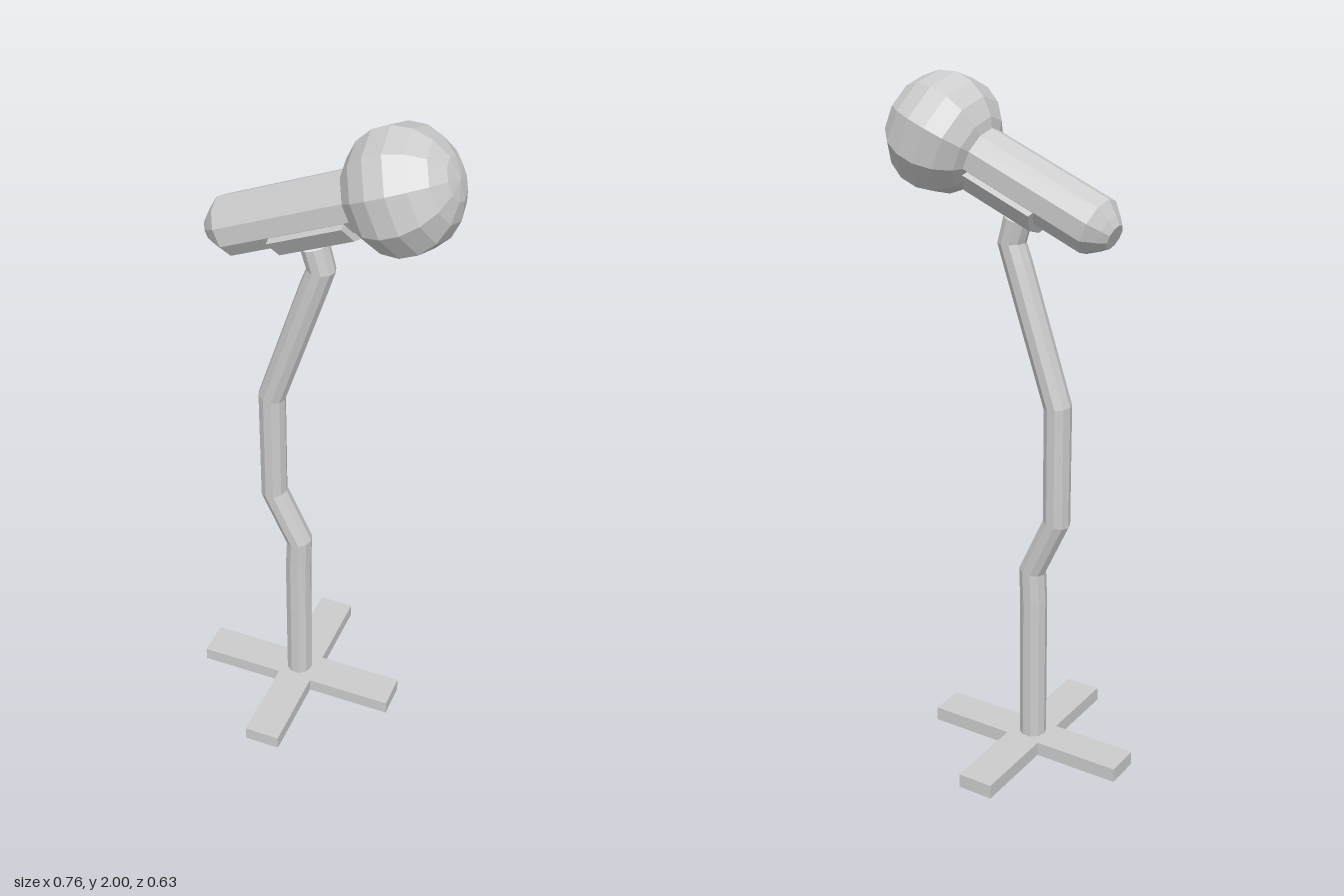
import * as THREE from 'three';

const material = new THREE.MeshStandardMaterial({ color: 0xcccccc, flatShading: true });
const SIDES = 10;

function part(name, geometry, parent) {
  const mesh = new THREE.Mesh(geometry, material);
  mesh.name = name;
  parent.add(mesh);
  return mesh;
}

// Tube along straight runs in the xy plane, one tilted ring per bend
function bentTube(path, radius) {
  const pts = path.map(([x, y]) => new THREE.Vector2(x, y));
  const positions = [], index = [];
  pts.forEach((p, i) => {
    const t = new THREE.Vector2();
    if (i > 0) t.add(p.clone().sub(pts[i - 1]).normalize());
    if (i < pts.length - 1) t.add(pts[i + 1].clone().sub(p).normalize());
    t.normalize();
    for (let j = 0; j < SIDES; j++) {
      const a = (j / SIDES) * Math.PI * 2, c = Math.cos(a) * radius;
      positions.push(p.x + t.y * c, p.y - t.x * c, Math.sin(a) * radius);
      if (i < pts.length - 1) {
        const k = i * SIDES + j, n = i * SIDES + (j + 1) % SIDES;
        index.push(k, k + SIDES, n, n, k + SIDES, n + SIDES);
      }
    }
  });
  const g = new THREE.BufferGeometry();
  g.setAttribute('position', new THREE.Float32BufferAttribute(positions, 3));
  g.setIndex(index);
  g.computeVertexNormals();
  return g;
}

// Flat plus-shaped foot
function crossFoot(reach, half, height) {
  const corners = [];
  for (let q = 0; q < 4; q++) {
    const c = Math.round(Math.cos(q * Math.PI / 2)), s = Math.round(Math.sin(q * Math.PI / 2));
    for (const [x, y] of [[reach, -half], [reach, half], [half, half]]) {
      corners.push(new THREE.Vector2(x * c - y * s, x * s + y * c));
    }
  }
  return new THREE.ExtrudeGeometry(new THREE.Shape(corners), { depth: height, bevelEnabled: false })
    .rotateX(-Math.PI / 2);
}

// Open cradle wrapped around the underside of the handle
function cradle(inner, outer, length) {
  const arc = (r) => [-2, -1, 0, 1, 2].map((k) => {
    const a = k * Math.PI * 2 / SIDES;
    return new THREE.Vector2(Math.cos(a) * r, Math.sin(a) * r);
  });
  const shape = new THREE.Shape([...arc(outer), ...arc(inner).reverse()]);
  return new THREE.ExtrudeGeometry(shape, { depth: length, bevelEnabled: false })
    .rotateX(-Math.PI / 2);
}

export function createModel() {
  const model = new THREE.Group();
  model.name = 'microphoneOnStand';

  part('crossBase', crossFoot(0.315, 0.054, 0.043), model).position.x = -0.066;

  part('bentPole', bentTube([
    [-0.07, 0.03], [-0.07, 0.49], [-0.066, 0.59], [-0.145, 0.76],
    [-0.145, 1.11], [-0.015, 1.5], [0.005, 1.557], [-0.014, 1.625],
  ], 0.04), model);

  // Microphone: local y runs along the handle towards the head
  const mic = new THREE.Group();
  mic.name = 'microphone';
  mic.position.set(0.222, 1.832, 0);
  mic.rotation.z = -THREE.MathUtils.degToRad(67.4);
  model.add(mic);

  const profile = [[0, -0.575], [0.036, -0.575], [0.055, -0.555], [0.083, -0.52], [0.083, -0.09]]
    .map(([r, y]) => new THREE.Vector2(r, y));
  part('handle', new THREE.LatheGeometry(profile, SIDES, Math.PI / 2), mic);

  part('head', new THREE.SphereGeometry(0.17, SIDES, 9).scale(1, 0.155 / 0.17, 1), mic);

  part('clip', cradle(0.084, 0.105, 0.222), mic).position.y = -0.37;

  return model;
}
